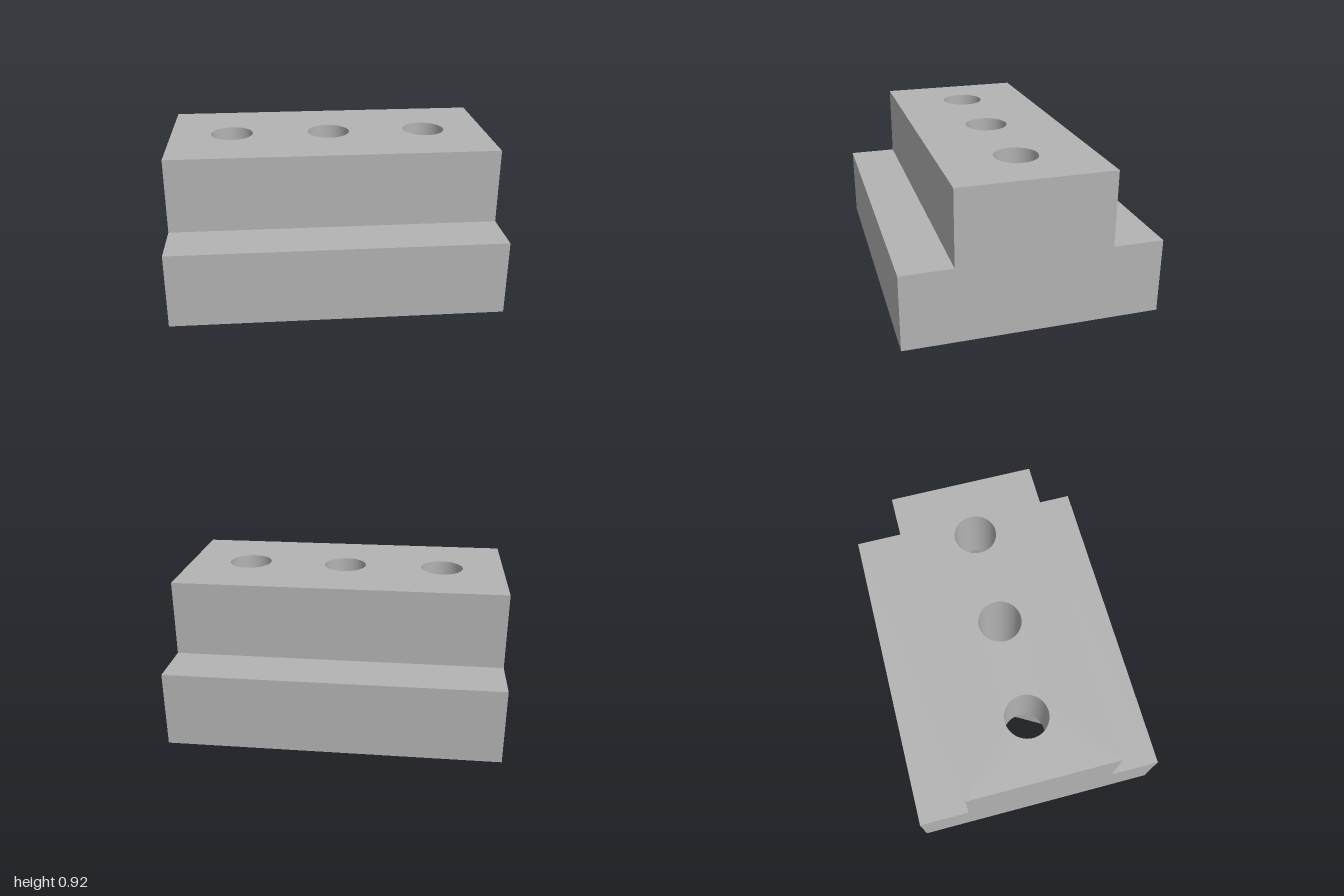
import * as THREE from 'three';

const H = 0.923, STEP = 0.4615;          // total height, height of the side ledges
const BASE = 0.769, TOP = 0.4615;        // half depths of base and raised block
const BORE = 0.132, HEX = 0.25, POCKET = 0.4615;
const BORES = [-0.615, 0, 0.615];
const POCKETS = [-0.615, 0.615];

// Circle or hexagon outline, with a hexagon corner on the x axis
function ring(x, radius, sides) {
  return Array.from({ length: sides }, (_, i) => {
    const a = (i / sides) * Math.PI * 2;
    return new THREE.Vector2(x + radius * Math.cos(a), radius * Math.sin(a));
  });
}

// Flat panel in x and z with the given openings
function panel(halfDepth, openings) {
  const shape = new THREE.Shape([[-1, -halfDepth], [1, -halfDepth], [1, halfDepth], [-1, halfDepth]]
    .map(p => new THREE.Vector2(...p)));
  shape.holes = openings.map(points => new THREE.Path(points));
  return new THREE.ShapeGeometry(shape);
}

// Stepped block without its top and bottom, which carry the openings
function steppedSides() {
  const profile = new THREE.Shape([[-BASE, 0], [BASE, 0], [BASE, STEP], [TOP, STEP],
    [TOP, H], [-TOP, H], [-TOP, STEP], [-BASE, STEP]].map(p => new THREE.Vector2(...p)));
  const solid = new THREE.ExtrudeGeometry(profile, { depth: 2, bevelEnabled: false });
  solid.translate(0, 0, -1).rotateY(Math.PI / 2);
  const pos = solid.attributes.position, kept = [];
  for (let i = 0; i < pos.count; i += 3) {
    const ys = [0, 1, 2].map(k => pos.getY(i + k));
    const flatAt = y => ys.every(v => Math.abs(v - y) < 1e-4);
    if (flatAt(0) || flatAt(H)) continue;
    for (let k = 0; k < 3; k++) kept.push(pos.getX(i + k), ys[k], pos.getZ(i + k));
  }
  const sides = new THREE.BufferGeometry();
  sides.setAttribute('position', new THREE.Float32BufferAttribute(kept, 3));
  sides.computeVertexNormals();
  return sides;
}

export function createModel() {
  const model = new THREE.Group();
  model.name = 'steppedMountingBlock';
  const grey = new THREE.MeshStandardMaterial({ color: 0xb3b3b3, side: THREE.DoubleSide });
  grey.name = 'grey';
  const add = (name, geometry, x = 0, y = 0) => {
    const mesh = new THREE.Mesh(geometry, grey);
    mesh.name = name;
    mesh.position.set(x, y, 0);
    model.add(mesh);
  };

  // Outer block
  add('steppedSides', steppedSides());
  add('topFace', panel(TOP, BORES.map(x => ring(x, BORE, 48))).rotateX(-Math.PI / 2), 0, H);
  add('bottomFace', panel(BASE, BORES.map(x =>
    POCKETS.includes(x) ? ring(x, HEX, 6) : ring(x, BORE, 48))).rotateX(Math.PI / 2));

  // Round bores, ending at the pocket ceilings or at the bottom
  for (const x of BORES) {
    const from = POCKETS.includes(x) ? POCKET : 0;
    const wall = new THREE.CylinderGeometry(BORE, BORE, H - from, 48, 1, true, Math.PI / 2);
    add('boreWall', wall, x, (H + from) / 2);
  }

  // Hexagonal nut pockets
  for (const x of POCKETS) {
    const wall = new THREE.CylinderGeometry(HEX, HEX, POCKET, 6, 1, true, Math.PI / 2).toNonIndexed();
    wall.computeVertexNormals();
    add('pocketWall', wall, x, POCKET / 2);
    const ceiling = new THREE.Shape(ring(0, HEX, 6));
    ceiling.holes.push(new THREE.Path(ring(0, BORE, 48)));
    add('pocketCeiling', new THREE.ShapeGeometry(ceiling).rotateX(Math.PI / 2), x, POCKET);
  }
  return model;
}
